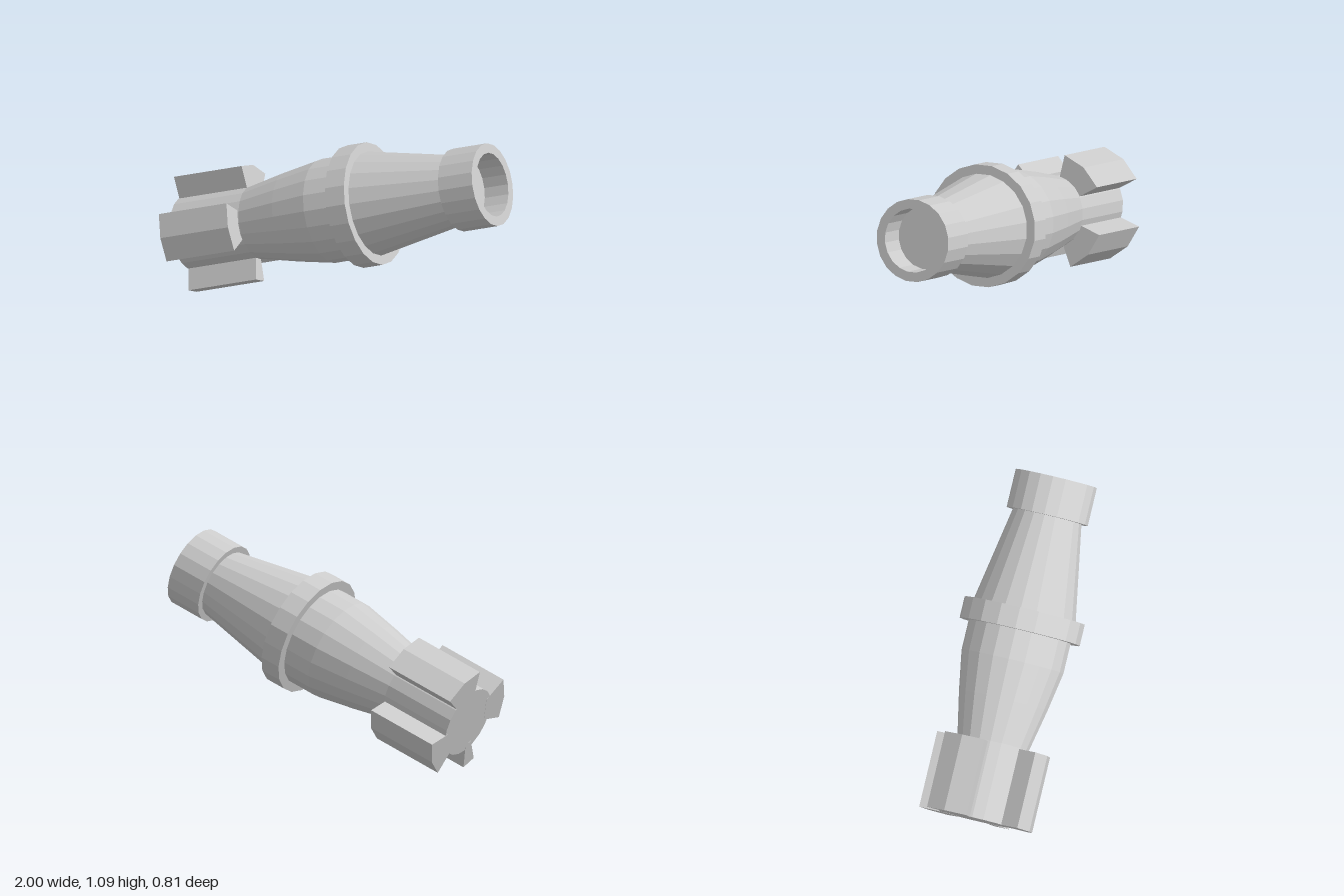
import * as THREE from 'three';

const SIDES = 20;

export function createModel() {
  const model = new THREE.Group();
  model.name = 'taperedNozzle';
  const material = new THREE.MeshStandardMaterial({ color: 0xcccccc, flatShading: true });

  // Local frame: +z runs along the tilted axis, the origin is the mouth centre
  const axis = new THREE.Vector3(0.946, 0.297, 0.1305).normalize();
  const up = new THREE.Vector3(0, 1, 0).addScaledVector(axis, -axis.y).normalize();
  const side = new THREE.Vector3().crossVectors(up, axis);
  const barrel = new THREE.Group();
  barrel.name = 'barrel';
  barrel.quaternion.setFromRotationMatrix(new THREE.Matrix4().makeBasis(side, up, axis));
  barrel.position.set(0.92, 0.885, 0.165);
  model.add(barrel);

  function add(name, geometry) {
    const mesh = new THREE.Mesh(geometry, material);
    mesh.name = name;
    barrel.add(mesh);
  }

  // Turned part from [radius, distance behind the mouth], listed back to front
  function turned(name, profile) {
    const points = profile.map(([r, s]) => new THREE.Vector2(r, -s));
    add(name, new THREE.LatheGeometry(points, SIDES).rotateX(Math.PI / 2));
  }

  // Bulging body with a straight tail
  turned('body', [[0, 1.935], [0.203, 1.935], [0.203, 1.5], [0.252, 1.26],
    [0.29, 1.04], [0.29, 0.75], [0.195, 0.215], [0.19, 0.19]]);

  // Raised band around the widest part
  turned('band', [[0.28, 0.87], [0.342, 0.87], [0.342, 0.75], [0.28, 0.75]]);

  // Mouth collar with a shallow recess
  turned('collar', [[0.17, 0.215], [0.231, 0.215], [0.231, 0], [0.178, 0],
    [0.178, 0.15], [0, 0.15]]);

  // Tail fins: sectors around the tail, given as [start, end] degrees
  const fins = [[-10, 38], [94, 142], [190, 238], [286, 302]];
  const inner = 0.17, outer = 0.326, back = 1.936, length = 0.43;
  fins.forEach(([from, to], i) => {
    const steps = to - from > 20 ? 2 : 1;
    const shape = new THREE.Shape();
    const corner = (r, degrees) => {
      const a = THREE.MathUtils.degToRad(180 - degrees);
      return [r * Math.cos(a), r * Math.sin(a)];
    };
    shape.moveTo(...corner(inner, from));
    for (let k = 0; k <= steps; k++) {
      shape.lineTo(...corner(outer, from + (to - from) * k / steps));
    }
    shape.lineTo(...corner(inner, to));
    shape.closePath();
    const geometry = new THREE.ExtrudeGeometry(shape, { depth: length, bevelEnabled: false });
    add('tailFin' + (i + 1), geometry.translate(0, 0, -back));
  });

  return model;
}
